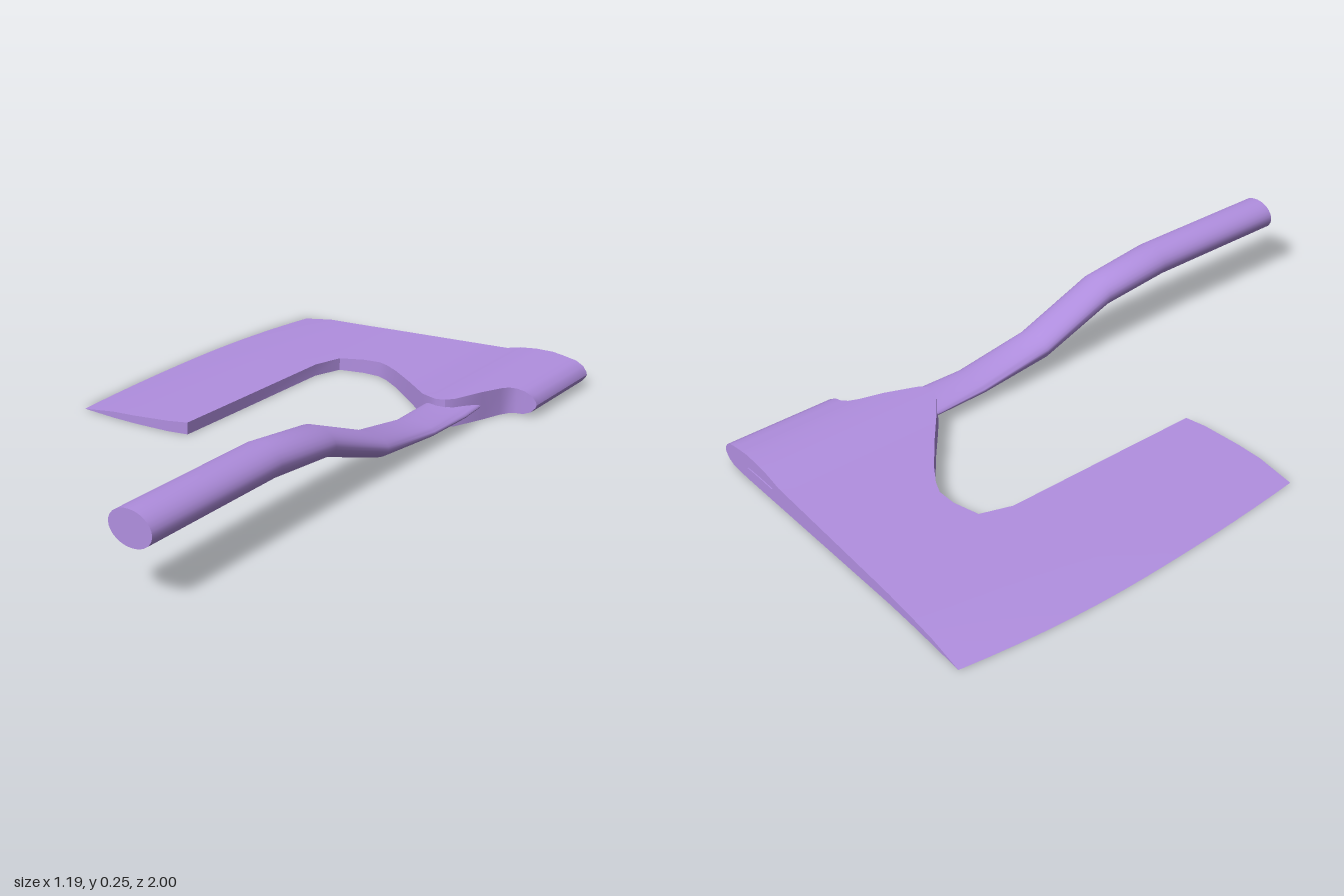
import * as THREE from 'three';
import { toCreasedNormals } from 'three/addons/utils/BufferGeometryUtils.js';

// Skins a list of equal-length rings; optionally closes both ends with fans.
function loft(rings, caps, crease) {
  const n = rings[0].length, pos = rings.flat(2), index = [];
  for (let s = 0; s < rings.length - 1; s++) {
    for (let k = 0; k < n; k++) {
      const a = s * n + k, b = s * n + (k + 1) % n;
      index.push(a, b, a + n, b, b + n, a + n);
    }
  }
  if (caps) {
    const last = (rings.length - 1) * n;
    for (let k = 1; k < n - 1; k++) {
      index.push(0, k + 1, k, last, last + k, last + k + 1);
    }
  }
  const geometry = new THREE.BufferGeometry();
  geometry.setAttribute('position', new THREE.Float32BufferAttribute(pos, 3));
  geometry.setIndex(index);
  return toCreasedNormals(geometry, crease);
}

// Bow of the cutting edge, fading out toward the socket
function bow(x, z) {
  const d = z + 0.45;
  const fade = THREE.MathUtils.clamp((-0.18 - x) / 0.42, 0, 1);
  return (d < 0 ? 0.165 : 0.075) * d * d * fade;
}

// Wedge thickness across the head: [x, bottom, top]
const thickness = [
  [-0.6, 0, 0], [-0.47, 0, 0.02], [0.29, 0, 0.069], [0.34, 0, 0.082],
  [0.4, 0, 0.09], [0.46, 0, 0.092], [0.5, 0.001, 0.087], [0.545, 0.004, 0.08],
  [0.57, 0.015, 0.067], [0.583, 0.032, 0.05], [0.586, 0.04, 0.04],
];

function heights(x) {
  let i = 0;
  while (i < thickness.length - 2 && x > thickness[i + 1][0]) i++;
  const [x0, b0, t0] = thickness[i], [x1, b1, t1] = thickness[i + 1];
  const f = (x - x0) / (x1 - x0);
  return [b0 + (b1 - b0) * f, t0 + (t1 - t0) * f];
}

// Lower outline of the head: [x, z]
const outline = [
  [-0.6, 0.155], [-0.47, 0.155], [-0.38, 0.15], [-0.25, 0.135], [-0.182, 0.118],
  [-0.178, -0.1], [-0.172, -0.53], [-0.14, -0.625], [-0.06, -0.65], [0, -0.653],
  [0.04, -0.637], [0.1, -0.6], [0.2, -0.525], [0.29, -0.453], [0.34, -0.415],
  [0.37, -0.401], [0.4, -0.405], [0.42, -0.425], [0.46, -0.525], [0.485, -0.595],
  [0.5, -0.622], [0.52, -0.635], [0.545, -0.638], [0.57, -0.643], [0.583, -0.645],
  [0.586, -0.645],
];

function axeHead() {
  const steps = 14;
  const rings = outline.map(([x, zFront]) => {
    const [low, high] = heights(x);
    const zBack = x < -0.3 ? -0.99 - 0.01 * (-0.3 - x) / 0.3 : -0.99;
    const top = [], bottom = [];
    for (let i = 0; i <= steps; i++) {
      const z = zBack + (zFront - zBack) * i / steps;
      top.push([x + bow(x, z), high, z]);
      bottom.unshift([x + bow(x, z), low, z]);
    }
    return [...top, ...bottom];
  });
  return loft(rings, false, 0.6);
}

// Bent haft with an oval section, flattening to a tang inside the socket:
// [z, centre height, half width, half height]
function haft() {
  const stations = [
    [1, 0.203, 0.069, 0.05], [0.5, 0.203, 0.069, 0.05], [0.26, 0.176, 0.069, 0.045],
    [0, 0.079, 0.069, 0.038], [-0.25, 0.046, 0.07, 0.023], [-0.42, 0.046, 0.076, 0.019],
    [-0.52, 0.046, 0.068, 0.016], [-0.993, 0.046, 0.066, 0.002],
  ];
  const sides = 28;
  const rings = stations.map(([z, y, rx, ry]) => Array.from({ length: sides }, (_, k) => {
    const a = k / sides * Math.PI * 2;
    return [0.391 + rx * Math.sin(a), y + ry * Math.cos(a), z];
  }));
  return loft(rings, true, 0.8);
}

export function createModel() {
  const group = new THREE.Group();
  const material = new THREE.MeshStandardMaterial({ color: 0xb18fe0 });
  const parts = { axeHead: axeHead(), haft: haft() };
  for (const [name, geometry] of Object.entries(parts)) {
    const mesh = new THREE.Mesh(geometry, material);
    mesh.name = name;
    group.add(mesh);
  }
  return group;
}
